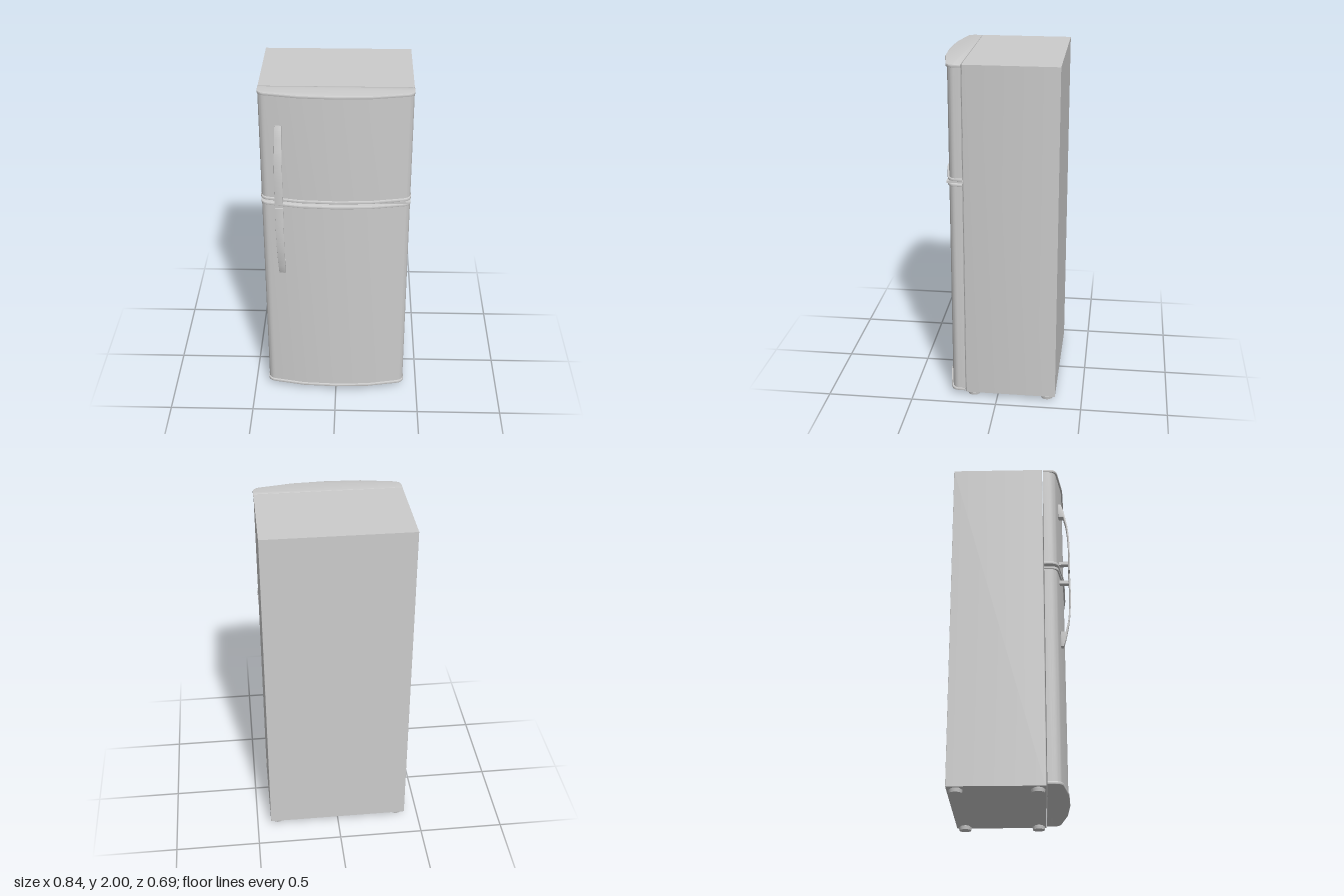
import * as THREE from 'three';
import { toCreasedNormals } from 'three/addons/utils/BufferGeometryUtils.js';

const material = new THREE.MeshStandardMaterial({ color: 0xcccccc });

function addMesh(parent, name, geometry) {
  const mesh = new THREE.Mesh(geometry, material);
  mesh.name = name;
  parent.add(mesh);
  return mesh;
}

// Plan outline of a door: flat back, rounded corners, bowed front; shape y is -z
function doorShape(inset, side) {
  const w = 0.42 - side, back = 0.191, f = -inset;
  const s = new THREE.Shape();
  s.moveTo(-w, -back);
  s.lineTo(-w, -(0.23 + f));
  s.bezierCurveTo(-w, -(0.255 + f), -w + 0.015, -(0.272 + f), -w + 0.04, -(0.277 + f));
  s.lineTo(-0.195, -(0.311 + f));
  s.lineTo(0, -(0.32 + f));
  s.lineTo(0.195, -(0.311 + f));
  s.lineTo(w - 0.04, -(0.277 + f));
  s.bezierCurveTo(w - 0.015, -(0.272 + f), w, -(0.255 + f), w, -(0.23 + f));
  s.lineTo(w, -back);
  return s;
}

// Extrudes a plan shape upward from y0 to y1
function upright(shape, y0, y1, bevel = 0) {
  const g = new THREE.ExtrudeGeometry(shape, {
    depth: y1 - y0 - 2 * bevel, curveSegments: 8, bevelEnabled: bevel > 0,
    bevelSize: bevel, bevelThickness: bevel, bevelOffset: -bevel, bevelSegments: 2,
  });
  g.rotateX(-Math.PI / 2).translate(0, y0 + bevel, 0);
  return toCreasedNormals(g, 0.5);
}

function makeDoor(name, y0, y1) {
  const door = new THREE.Group();
  door.name = name;
  const cap = 0.016;
  addMesh(door, 'doorPanel', upright(doorShape(0.009, 0.003), y0 + cap, y1 - cap));
  addMesh(door, 'bottomTrim', upright(doorShape(0, 0), y0, y0 + cap, 0.003));
  addMesh(door, 'topTrim', upright(doorShape(0, 0), y1 - cap, y1, 0.003));
  return door;
}

// Bowed grip in side profile; h runs from the door gap (0) to the far end (0.46)
function makeHandle(name, yStart, dir) {
  const handle = new THREE.Group();
  handle.name = name;
  const s = new THREE.Shape();
  s.moveTo(0.331, 0);
  s.lineTo(0.341, 0);
  s.splineThru([[0.343, 0.12], [0.341, 0.21], [0.333, 0.3], [0.316, 0.39], [0.306, 0.43], [0.296, 0.46]]
    .map(p => new THREE.Vector2(...p)));
  s.lineTo(0.28, 0.46);
  s.lineTo(0.28, 0.37);
  s.lineTo(0.309, 0.37);
  s.splineThru([[0.324, 0.3], [0.332, 0.21], [0.334, 0.12], [0.331, 0]]
    .map(p => new THREE.Vector2(...p)));
  const width = 0.046, bevel = 0.002;
  const g = new THREE.ExtrudeGeometry(s, {
    depth: width - 2 * bevel, curveSegments: 24, bevelSize: bevel,
    bevelThickness: bevel, bevelOffset: -bevel, bevelSegments: 2,
  });
  g.translate(0, 0, bevel);
  const p = g.attributes.position;
  // Map (z, h, width) into place, narrowing the outer edge toward the far end
  for (let i = 0; i < p.count; i++) {
    const z = p.getX(i), h = p.getY(i), t = Math.max(0, h / 0.46);
    const across = p.getZ(i) / width;
    const x = dir > 0 ? -0.290 - across * (width - 0.009 * t * t)
      : -0.290 - (1 - across) * (width - 0.009 * t * t);
    p.setXYZ(i, x, yStart + dir * h, z);
  }
  addMesh(handle, 'grip', toCreasedNormals(g, 0.6));
  // Short standoff near the door gap
  addMesh(handle, 'standoff', new THREE.BoxGeometry(0.03, 0.02, 0.056))
    .position.set(-0.313, yStart + dir * 0.052, 0.306);
  return handle;
}

export function createModel() {
  const model = new THREE.Group();
  model.name = 'refrigerator';

  // Cabinet with softened vertical edges
  const c = new THREE.Shape();
  const w = 0.418, b = -0.187, d = 0.343, r = 0.006;
  c.moveTo(-w + r, b);
  c.lineTo(w - r, b);
  c.quadraticCurveTo(w, b, w, b + r);
  c.lineTo(w, d - 0.001);
  c.lineTo(w - 0.001, d);
  c.lineTo(-w + 0.001, d);
  c.lineTo(-w, d - 0.001);
  c.lineTo(-w, b + r);
  c.quadraticCurveTo(-w, b, -w + r, b);
  addMesh(model, 'cabinet', upright(c, 0.025, 2));

  // Doors, freezer above
  model.add(makeDoor('lowerDoor', 0.033, 1.333));
  model.add(makeDoor('freezerDoor', 1.349, 2));

  // Hinge plate in the gap between the doors
  addMesh(model, 'hingePlate', new THREE.BoxGeometry(0.16, 0.012, 0.095))
    .position.set(0.33, 1.341, 0.2325);

  // Handles meet at the gap
  model.add(makeHandle('freezerHandle', 1.352, 1));
  model.add(makeHandle('lowerHandle', 1.33, -1));

  // Feet
  for (const x of [-0.372, 0.372]) {
    for (const z of [-0.292, 0.143]) {
      const foot = new THREE.Group();
      foot.name = 'foot';
      addMesh(foot, 'pad', new THREE.CylinderGeometry(0.038, 0.035, 0.018, 24)).position.y = 0.009;
      addMesh(foot, 'stem', new THREE.CylinderGeometry(0.028, 0.028, 0.01, 24)).position.y = 0.022;
      foot.position.set(x, 0, z);
      model.add(foot);
    }
  }
  return model;
}
